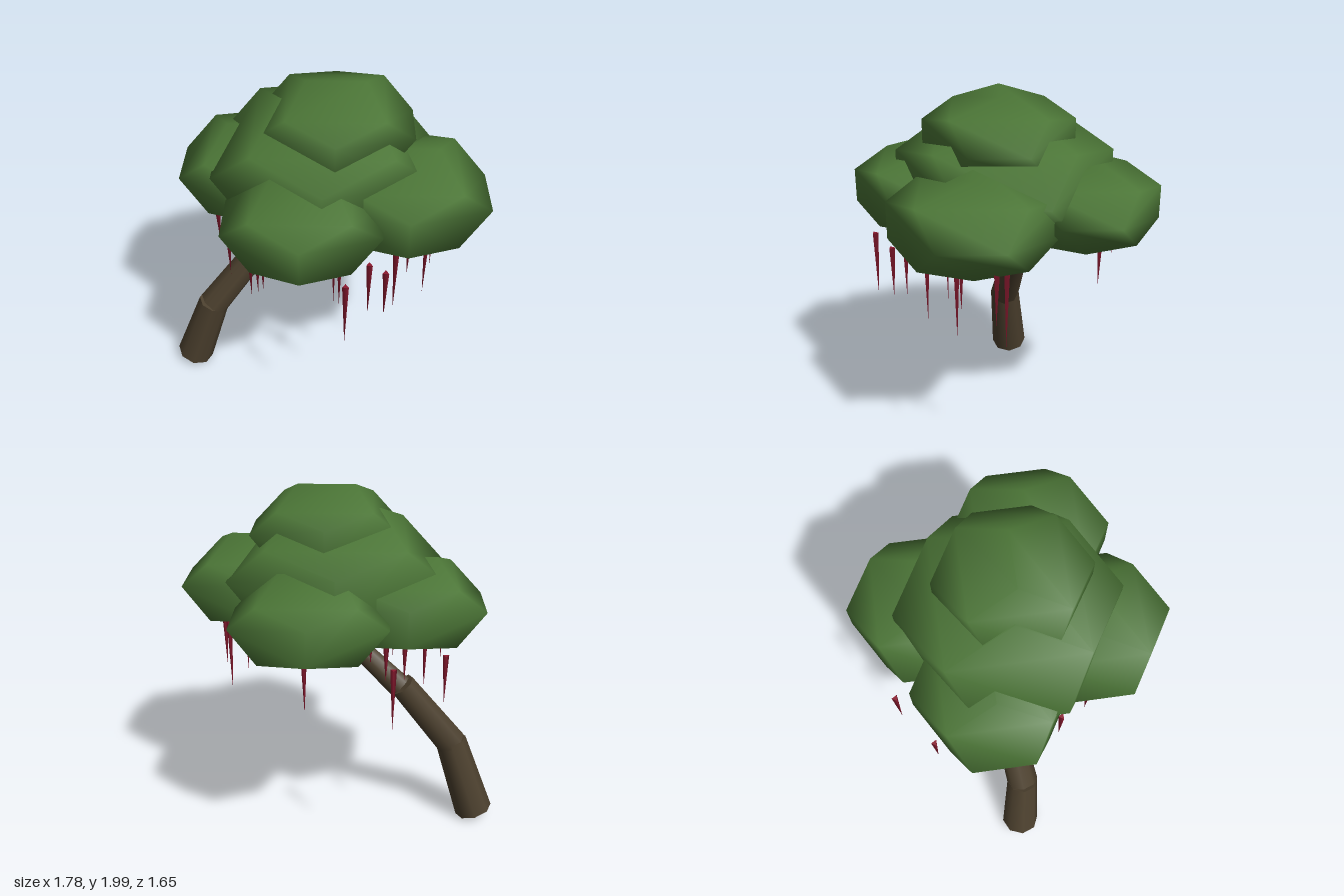
import * as THREE from 'three';
import { mergeVertices } from 'three/addons/utils/BufferGeometryUtils.js';

const mat = (name, color) => {
  const m = new THREE.MeshStandardMaterial({ color });
  m.name = name;
  return m;
};

export function createModel() {
  const bark = mat('bark brown', 0x4c402e);
  const leaf = mat('leaf green', 0x4b7536);
  const bloom = mat('blossom red', 0x8c1a30);
  const tree = new THREE.Group();
  tree.name = 'tree';

  const add = (parent, name, geometry, material) => {
    const mesh = new THREE.Mesh(geometry, material);
    mesh.name = name;
    parent.add(mesh);
    return mesh;
  };
  const group = (name) => {
    const g = new THREE.Group();
    g.name = name;
    tree.add(g);
    return g;
  };

  // Tapered limb running from a to b
  const limb = (parent, name, a, b, ra, rb, sides) => {
    const from = new THREE.Vector3(...a), to = new THREE.Vector3(...b);
    const dir = to.clone().sub(from);
    const mesh = add(parent, name, new THREE.CylinderGeometry(rb, ra, dir.length(), sides), bark);
    mesh.position.copy(from).add(to).multiplyScalar(0.5);
    mesh.quaternion.setFromUnitVectors(new THREE.Vector3(0, 1, 0), dir.normalize());
  };

  // Leaning trunk in three sections, with short forks under the crown
  const trunk = group('trunk');
  limb(trunk, 'lowerTrunk', [-0.785, 0.045, -0.04], [-0.63, 0.5, -0.01], 0.11, 0.09, 8);
  limb(trunk, 'middleTrunk', [-0.63, 0.49, -0.01], [-0.33, 0.89, -0.07], 0.09, 0.075, 8);
  limb(trunk, 'upperTrunk', [-0.32, 0.88, -0.075], [0.03, 1.2, 0], 0.07, 0.05, 8);
  const fork = [0.0, 1.17, 0];
  [[0.2, 1.3, 0.1], [-0.05, 1.3, 0.22], [0.07, 1.3, -0.22]].forEach((end) =>
    limb(trunk, 'branch', fork, end, 0.04, 0.025, 6));

  // Smooth-shaded flattened dodecahedra: x, y, z, half width
  const crown = group('crown');
  const clumps = [
    ['topClump', 0.09, 1.765, 0.03, 0.4],
    ['middleClump', 0.03, 1.54, 0, 0.58],
    ['leftClump', 0.455, 1.44, 0.16, 0.435],
    ['frontClump', -0.07, 1.44, 0.42, 0.4],
    ['rightClump', -0.33, 1.41, -0.13, 0.42],
    ['backClump', 0.16, 1.42, -0.425, 0.4],
  ];
  for (const [name, x, y, z, half] of clumps) {
    let g = new THREE.DodecahedronGeometry(half / 0.934);
    g.deleteAttribute('normal');
    g.deleteAttribute('uv');
    g = mergeVertices(g, 1e-4);
    g.scale(1, 0.595, 1);
    g.computeVertexNormals();
    add(crown, name, g, leaf).position.set(x, y, z);
  }

  // Hanging three-sided blossoms: x, z, tip height
  const blossoms = group('blossoms');
  const hangTop = 1.245;
  const spikes = [
    [0.15, 0.7, 0.87], [0.35, 0.59, 0.96], [0.27, 0.53, 0.92], [0.12, 0.43, 0.89],
    [0.41, 0.41, 0.85], [0.09, 0.32, 0.81], [0.58, 0.25, 0.83], [0.49, 0.23, 0.94],
    [0.67, 0.05, 0.95], [0.64, 0, 0.81], [-0.35, 0.38, 0.89], [-0.29, 0.34, 0.88],
    [-0.31, 0.41, 0.93], [-0.48, 0.21, 0.9], [-0.55, 0.05, 1.01], [-0.45, -0.1, 0.88],
    [-0.53, -0.465, 0.98], [-0.33, -0.3, 1.02], [-0.26, -0.645, 0.91], [-0.23, -0.35, 1.04],
    [-0.15, -0.22, 1.08], [0.19, -0.51, 0.93], [-0.09, -0.22, 1.08],
  ];
  for (const [x, z, tip] of spikes) {
    const length = hangTop - tip;
    const cone = add(blossoms, 'blossom', new THREE.ConeGeometry(0.019, length, 3), bloom);
    cone.rotation.x = Math.PI;
    cone.position.set(x, tip + length / 2, z);
  }
  return tree;
}
